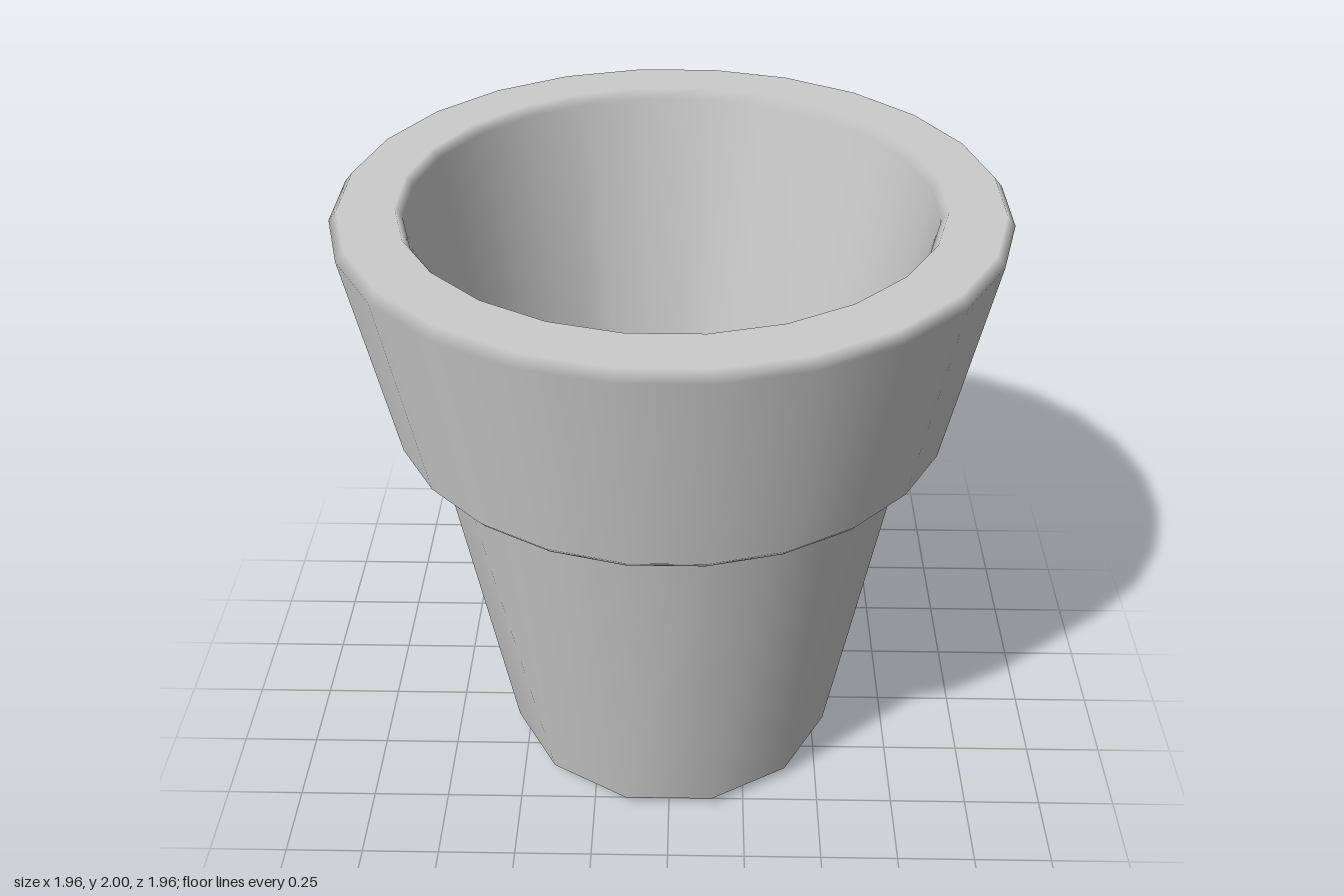
import * as THREE from 'three';

const SIDES = 24;
const DOWN = [0, -1], UP = [0, 1];
const OUT = [0.984, -0.18]; // tapered outer wall
const IN = [-0.984, 0.18]; // tapered inner wall

// Ring list: [radius, height, normal (radial, up), paired]
// Paired rings merge neighbouring corners, so the wall narrows from 24 to 12 sides.
const PROFILE = [
  // underside and chamfered foot
  [0, 0, DOWN, true],
  [0.505, 0, DOWN, true],
  [0.557, 0.04, OUT, true],
  // body wall up to the collar
  [0.757, 1.25, OUT, false],
  [0.775, 1.272, [0.2, -0.98], false],
  // collar with soft edges
  [0.845, 1.287, [0.2, -0.98], false],
  [0.865, 1.31, OUT, false],
  [0.99, 1.97, OUT, false],
  [0.965, 2, UP, false],
  // rim and inside wall
  [0.8, 2, UP, false],
  [0.78, 1.97, IN, false],
  [0.435, 0.12, IN, true],
  // inside floor
  [0.435, 0.12, UP, true],
  [0, 0.12, UP, true],
];

// Skins the rings with shared, smooth normals
function ringSkin(profile) {
  const pos = [], nor = [], idx = [];
  const row = SIDES + 1;
  for (const [r, y, [nr, ny], paired] of profile) {
    for (let k = 0; k <= SIDES; k++) {
      const i = k % SIDES;
      const step = paired ? Math.floor(i / 2) * 2 + 1 : i + 0.5;
      const a = (step * Math.PI * 2) / SIDES;
      pos.push(r * Math.sin(a), y, r * Math.cos(a));
      nor.push(nr * Math.sin(a), ny, nr * Math.cos(a));
    }
  }
  const point = (i) => new THREE.Vector3().fromArray(pos, i * 3);
  const addFace = (a, b, c) => {
    // skip faces that collapse where corners merge
    if (new THREE.Triangle(point(a), point(b), point(c)).getArea() > 1e-7) idx.push(a, b, c);
  };
  for (let j = 0; j < profile.length - 1; j++) {
    for (let i = 0; i < SIDES; i++) {
      const a = j * row + i, d = a + row;
      addFace(a, a + 1, d + 1);
      addFace(a, d + 1, d);
    }
  }
  const geo = new THREE.BufferGeometry();
  geo.setAttribute('position', new THREE.Float32BufferAttribute(pos, 3));
  geo.setAttribute('normal', new THREE.Float32BufferAttribute(nor, 3));
  geo.setIndex(idx);
  return geo;
}

export function createModel() {
  const group = new THREE.Group();
  group.name = 'flowerPot';
  const clay = new THREE.MeshStandardMaterial({ color: 0xcccccc });
  const addPart = (name, from, to) => {
    const mesh = new THREE.Mesh(ringSkin(PROFILE.slice(from, to + 1)), clay);
    mesh.name = name;
    group.add(mesh);
  };
  addPart('body', 0, 3);
  addPart('collar', 3, 9);
  addPart('inside', 9, 13);
  return group;
}
